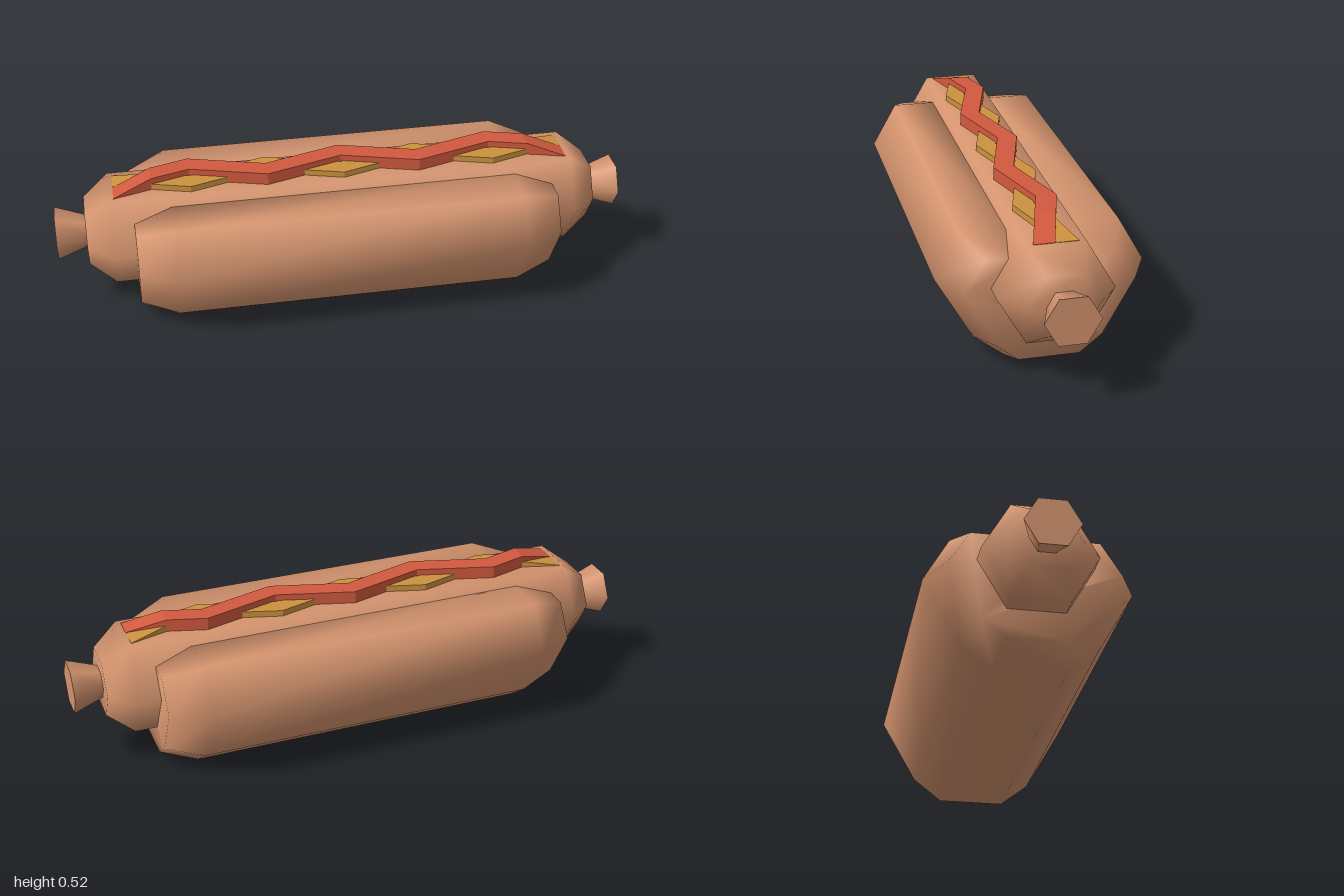
import * as THREE from 'three';
import { mergeVertices } from 'three/addons/utils/BufferGeometryUtils.js';

// Skin closed [z, y] loops placed along x, with capped ends
function loft(sections, smooth) {
  const n = sections[0].loop.length;
  const last = (sections.length - 1) * n;
  const positions = [];
  const index = [];
  for (const { x, loop } of sections) for (const [z, y] of loop) positions.push(x, y, z);
  for (let i = 0; i < sections.length - 1; i++) {
    for (let j = 0; j < n; j++) {
      const k = (j + 1) % n;
      const a = i * n + j, b = i * n + k, c = b + n, d = a + n;
      index.push(a, d, c, a, c, b);
    }
  }
  const outline = sections[0].loop.map(([z, y]) => new THREE.Vector2(z, y));
  for (const [a, b, c] of THREE.ShapeUtils.triangulateShape(outline, [])) {
    index.push(a, b, c, last + a, last + c, last + b);
  }
  let geometry = new THREE.BufferGeometry();
  geometry.setAttribute('position', new THREE.Float32BufferAttribute(positions, 3));
  geometry.setIndex(index);
  geometry = smooth ? mergeVertices(geometry) : geometry.toNonIndexed();
  geometry.computeVertexNormals();
  return geometry;
}

const mirrorLoop = (half) => [...half, ...half.map(([z, y]) => [-z, y]).reverse()];

const hexLoop = (radius, y) => Array.from({ length: 6 }, (_, i) => {
  const angle = (i * Math.PI) / 3;
  return [radius * Math.cos(angle), y + radius * Math.sin(angle)];
});

// Zigzag strip of sauce whose ends slope down to the sausage
function sauce(side, top) {
  const step = 0.264, half = 0.035, base = 0.46;
  const stations = [];
  for (let i = -3; i <= 3; i++) {
    stations.push({ x: i * step, z: side * (i % 2 ? 0.038 : -0.038), y: Math.abs(i) === 3 ? 0.48 : top });
  }
  // Extra stations where the sloping ends begin
  stations.splice(1, 0, { x: -2.5 * step, z: 0, y: top });
  stations.splice(7, 0, { x: 2.5 * step, z: 0, y: top });
  return loft(stations.map(({ x, z, y }) => ({
    x, loop: [[z - half, base], [z + half, base], [z + half, y], [z - half, y]],
  })), false);
}

export function createModel() {
  const brown = new THREE.MeshStandardMaterial({ color: 0xd6956f });
  brown.name = 'toasted brown';
  const red = new THREE.MeshStandardMaterial({ color: 0xd25a3f });
  red.name = 'ketchup red';
  const yellow = new THREE.MeshStandardMaterial({ color: 0xcc923f });
  yellow.name = 'mustard yellow';

  const model = new THREE.Group();
  model.name = 'hotDog';
  const add = (name, geometry, material) => {
    const mesh = new THREE.Mesh(geometry, material);
    mesh.name = name;
    model.add(mesh);
    return mesh;
  };

  // Bun: a U-shaped section with smaller ends
  const middle = mirrorLoop([[0.118, 0], [0.22, 0.08], [0.345, 0.3], [0.26, 0.45], [0.1, 0.45], [0.08, 0.22]]);
  const end = mirrorLoop([[0.1, 0.05], [0.175, 0.11], [0.28, 0.3], [0.21, 0.41], [0.1, 0.41], [0.08, 0.22]]);
  add('bun', loft([
    { x: -0.73, loop: end }, { x: -0.6, loop: middle },
    { x: 0.6, loop: middle }, { x: 0.73, loop: end },
  ], true), brown);

  // Sausage: six-sided with tapered ends
  const sausageY = 0.314;
  add('sausage', loft([[-0.894, 0.117], [-0.806, 0.19], [0.806, 0.19], [0.894, 0.117]]
    .map(([x, radius]) => ({ x, loop: hexLoop(radius, sausageY) })), true), brown);

  // Flared knots at both sausage ends
  for (const side of [-1, 1]) {
    const knot = add(side > 0 ? 'leftKnot' : 'rightKnot', new THREE.CylinderGeometry(0.091, 0.053, 0.11, 6), brown);
    knot.rotation.z = -side * Math.PI / 2;
    knot.position.set(side * 0.942, sausageY, 0);
  }

  // Sauces cross each other along the top
  add('mustard', sauce(-1, 0.5), yellow);
  add('ketchup', sauce(1, 0.522), red);

  model.rotation.y = THREE.MathUtils.degToRad(10);
  const group = new THREE.Group();
  group.add(model);
  return group;
}
